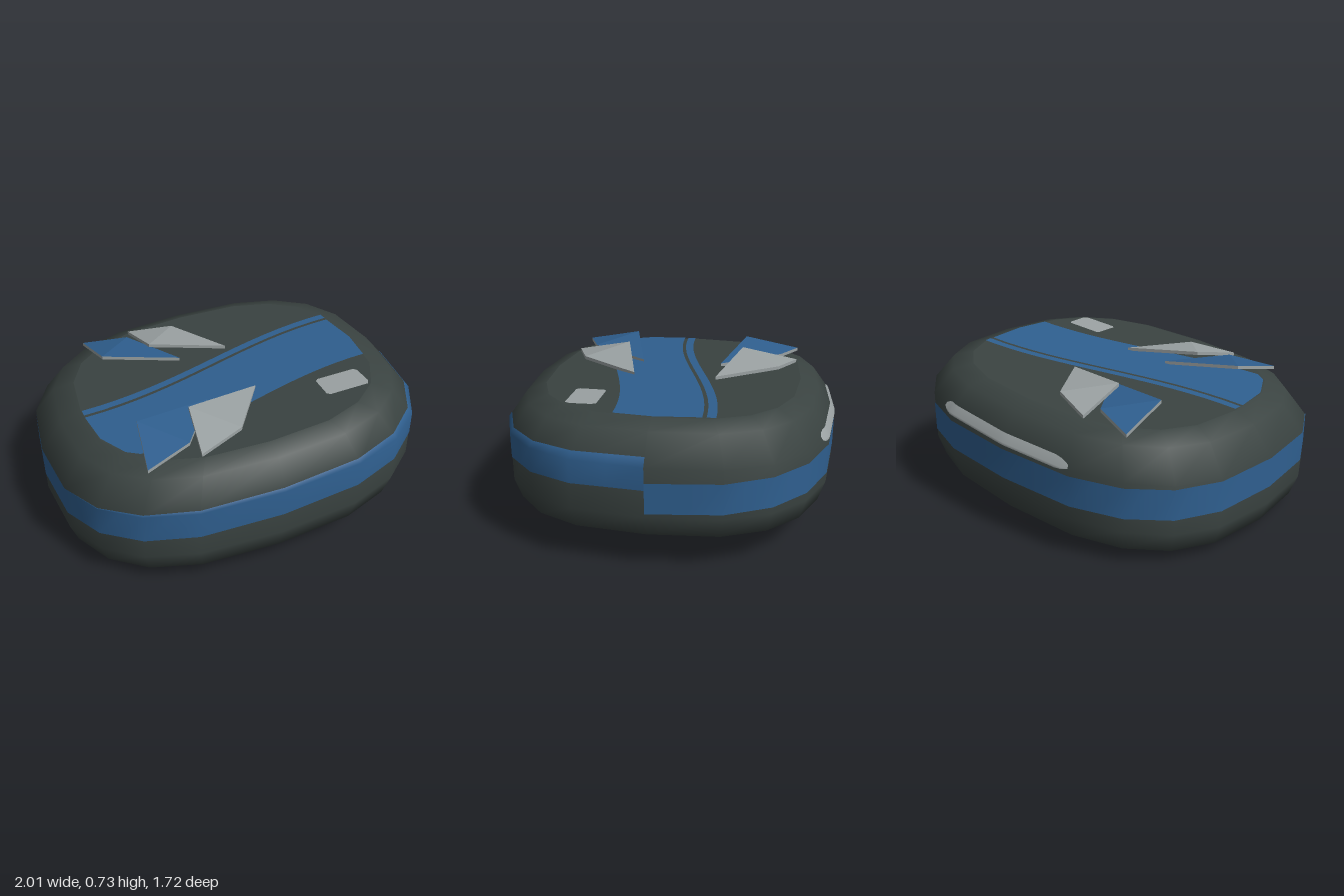
import * as THREE from 'three';

const PROFILE = [[0.78, 0], [0.96, 0.065], [1, 0.175], [1, 0.43], [0.89, 0.565], [0.78, 0.6]]; // radius, height
const DEPTH = 0.857, SIDES = 20, STEP = Math.PI * 2 / SIDES, TOP = 0.6;

const lerp = THREE.MathUtils.lerp;
// The whole body slopes up towards +x.
const base = x => 0.06 + 0.0765 * x;

// Rounded-square outline with straight sides between nodes.
function outline(angle) {
  const node = k => {
    const c = Math.cos(k * STEP), s = Math.sin(k * STEP);
    const p = v => Math.abs(v) < 1e-6 ? 0 : Math.sign(v) * Math.abs(v) ** 0.74;
    return [p(c), p(s) * DEPTH];
  };
  const k = Math.floor(angle / STEP + 1e-6), t = angle / STEP - k;
  const a = node(k), b = node(k + 1);
  return [lerp(a[0], b[0], t), lerp(a[1], b[1], t)];
}

function radiusAt(h) {
  for (let i = 1; i < PROFILE.length; i++) {
    const [r0, h0] = PROFILE[i - 1], [r1, h1] = PROFILE[i];
    if (h <= h1) return lerp(r0, r1, (h - h0) / (h1 - h0));
  }
  return PROFILE.at(-1)[0];
}

// Smooth skin around the body; heights(u) gives the rows of each column.
function shell(from, to, cols, heights, lift = 0) {
  const closed = to - from > 6.28 && lift === 0;
  const n = closed ? cols : cols + 1, pos = [], index = [];
  let rows = 0;
  for (let j = 0; j < n; j++) {
    const u = j / cols, [x, z] = outline(lerp(from, to, u)), hs = heights(u);
    rows = hs.length;
    for (const h of hs) {
      const r = radiusAt(h) + lift;
      pos.push(x * r, base(x * r) + h, z * r);
    }
  }
  for (let j = 0; j < cols; j++) {
    for (let i = 0; i < rows - 1; i++) {
      const a = j * rows + i, b = ((j + 1) % n) * rows + i;
      index.push(a, a + 1, b, b, a + 1, b + 1);
    }
  }
  const geo = new THREE.BufferGeometry();
  geo.setAttribute('position', new THREE.Float32BufferAttribute(pos, 3));
  geo.setIndex(index);
  geo.computeVertexNormals();
  return geo;
}

// Flat face from [x, z] points, lying on the sloped top or bottom.
function plate(points, height, up) {
  const geo = new THREE.ShapeGeometry(new THREE.Shape(points.map(([x, z]) => new THREE.Vector2(x, -z))));
  const p = geo.attributes.position;
  for (let i = 0; i < p.count; i++) {
    const x = p.getX(i), z = -p.getY(i);
    p.setXYZ(i, x, base(x) + height, z);
  }
  if (!up) geo.setIndex([...geo.index.array].reverse());
  geo.computeVertexNormals();
  return geo;
}

// Folded four-cornered fin; group 0 is the top, group 1 the edge and underside.
function finGeometry(side) {
  const top = [[-0.34, 0.65, 0.635], [-0.1, 0.687, 0.545], [0.11, 0.685, 0.22], [-0.3, 0.72, 0.33]];
  const corners = [...top, ...top.map(([x, y, z]) => [x, y - 0.018, z])];
  const faces = [[0, 1, 3], [1, 2, 3], [4, 7, 5], [5, 7, 6]];
  for (let i = 0; i < 4; i++) {
    const j = (i + 1) % 4;
    faces.push([i, i + 4, j], [j, i + 4, j + 4]);
  }
  const pos = [];
  for (const f of faces) {
    for (const k of side > 0 ? f : [...f].reverse()) {
      pos.push(corners[k][0], corners[k][1], corners[k][2] * side);
    }
  }
  const geo = new THREE.BufferGeometry();
  geo.setAttribute('position', new THREE.Float32BufferAttribute(pos, 3));
  geo.computeVertexNormals();
  geo.addGroup(0, 6, 0);
  geo.addGroup(6, pos.length / 3 - 6, 1);
  return geo;
}

export function createModel() {
  const model = new THREE.Group();
  model.name = 'roundedPuck';
  const material = (name, color) => {
    const m = new THREE.MeshStandardMaterial({ color });
    m.name = name;
    return m;
  };
  const dark = material('charcoal', 0x3a4341);
  const blue = material('blue', 0x2f5f8f);
  const grey = material('lightGrey', 0x9ba2a3);
  const add = (name, geo, mat) => {
    const mesh = new THREE.Mesh(geo, mat);
    mesh.name = name;
    model.add(mesh);
    return mesh;
  };

  // Body: rounded side and two flat faces
  add('bodySide', shell(0, Math.PI * 2, SIDES, () => PROFILE.map(p => p[1])), dark);
  const rim = Array.from({ length: SIDES }, (_, k) => outline(k * STEP).map(v => v * 0.78));
  add('topFace', plate(rim, TOP, true), dark);
  add('bottomFace', plate(rim, 0, false), dark);

  // Side band, winding down one turn from a step at +x
  const low = [0.314, 0.29, 0.268, 0.235, 0.193];
  add('sideBand', shell(0, Math.PI * 2, 40, u => {
    const k = Math.min(3, Math.floor(u * 4)), lo = lerp(low[k], low[k + 1], u * 4 - k), hi = lo + 0.157;
    return [lo, Math.min(hi, 0.43), hi];
  }, 0.003), blue);

  // Narrow strip with rounded ends on the back
  add('backStrip', shell(4.4, 5.13, 24, u => {
    const half = 0.027 * Math.min(1, 0.3 + 12 * Math.min(u, 1 - u));
    return [0.443 - half, Math.max(0.43, 0.443 - half), 0.443 + half];
  }, 0.005), grey);

  // Diagonal stripes on both flat faces
  const edge = x => -0.145 - 0.152 * Math.sin(Math.PI / 2 * x / 0.78);
  const curve = (x0, x1, shift) => Array.from({ length: 17 }, (_, i) => {
    const x = lerp(x0, x1, i / 16);
    return [x, edge(x) + shift];
  });
  const wide = shift => [...curve(-0.775, 0.75, shift), [0.778, 0],
    ...curve(0.76, -0.6, 0.49), [-0.663, 0.44], [-0.748, 0.28]];
  add('topStripe', plate(wide(0.065), TOP + 0.004, true), blue);
  add('topThinStripe', plate([...curve(-0.775, 0.745, 0), ...curve(0.75, -0.775, 0.045)], TOP + 0.004, true), blue);
  add('bottomStripe', plate(wide(0), -0.003, false), blue);

  // Small label patches on both flat faces
  const patch = [[0.43, 0.3], [0.64, 0.3], [0.655, 0.32], [0.66, 0.43], [0.645, 0.455], [0.43, 0.455], [0.415, 0.44], [0.415, 0.315]];
  add('topPatch', plate(patch, TOP + 0.005, true), grey);
  add('bottomPatch', plate(patch, -0.004, false), grey);

  // Two pairs of folded fins
  for (const side of [1, -1]) {
    const name = side > 0 ? 'front' : 'back';
    add(name + 'GreyFin', finGeometry(side), [grey, grey]);
    add(name + 'BlueFin', finGeometry(side), [blue, grey]).position.set(-0.27, -0.0207, 0);
  }
  return model;
}
